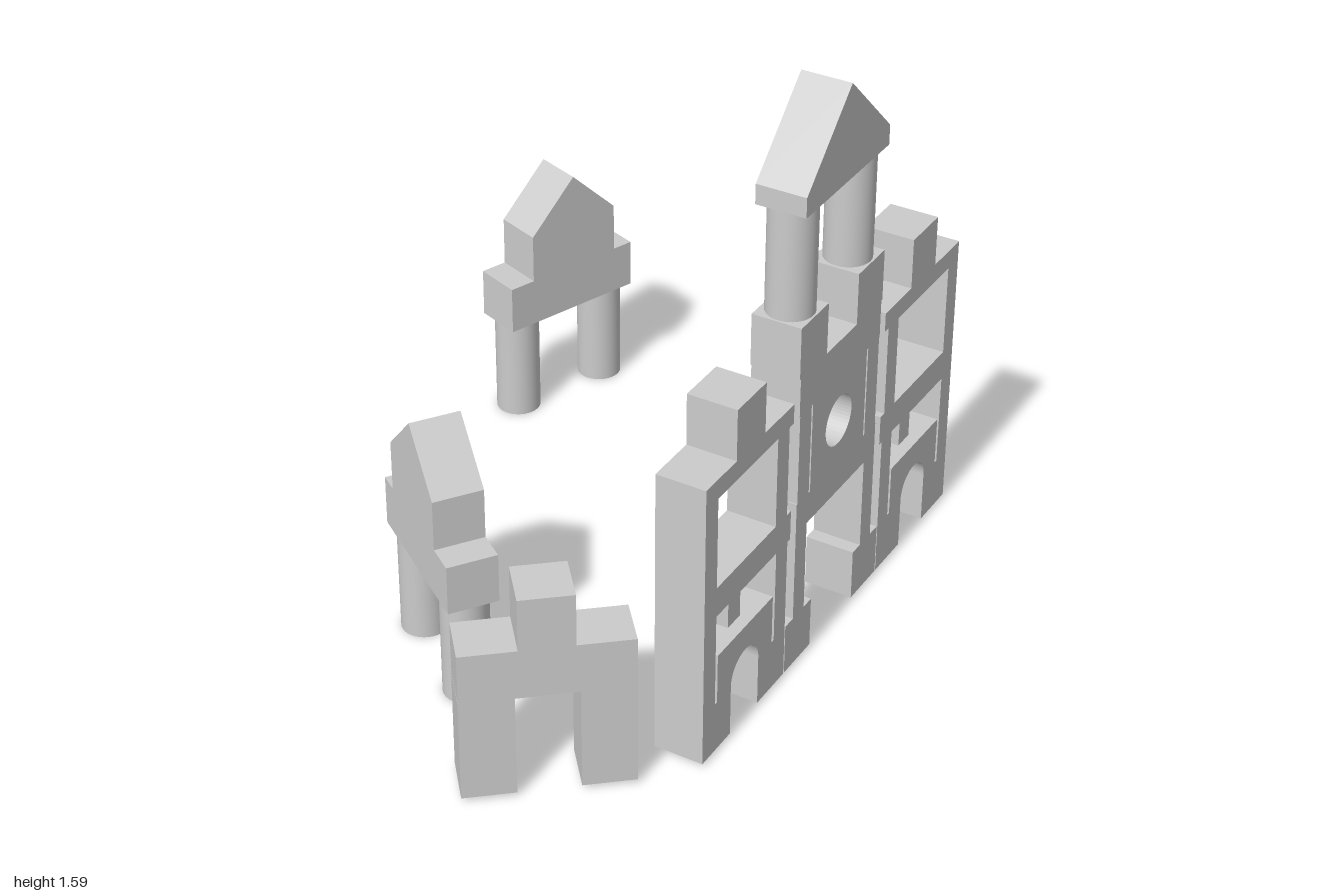
import * as THREE from 'three';

const material = new THREE.MeshStandardMaterial({ color: 0xcccccc });
const D = 0.137; // common block depth
const GROUND = 0.012;

function add(group, name, geometry, x, y, z = 0, turn = 0) {
  const mesh = new THREE.Mesh(geometry, material);
  mesh.name = name;
  mesh.position.set(x, y, z);
  mesh.rotation.y = turn;
  group.add(mesh);
  return mesh;
}

// Box standing between heights y0 and y1
function block(group, name, x, y0, y1, width, depth = D, turn = 0) {
  return add(group, name, new THREE.BoxGeometry(width, y1 - y0, depth), x, (y0 + y1) / 2, 0, turn);
}

// Round pillar standing between heights y0 and y1
function pillar(group, name, x, y0, y1) {
  return add(group, name, new THREE.CylinderGeometry(0.0635, 0.0635, y1 - y0, 32), x, (y0 + y1) / 2);
}

// Flat outline pulled to the block depth, centred on z
function slab(group, name, shape, x, y) {
  const geometry = new THREE.ExtrudeGeometry(shape, { depth: D, bevelEnabled: false, curveSegments: 24 });
  geometry.translate(0, 0, -D / 2);
  return add(group, name, geometry, x, y);
}

function roof(group, name, x, y, width, height) {
  const shape = new THREE.Shape();
  shape.moveTo(-width / 2, 0);
  shape.lineTo(width / 2, 0);
  shape.lineTo(0, height);
  shape.closePath();
  return slab(group, name, shape, x, y);
}

function arch(group, name, x, y, width, height, radius) {
  const shape = new THREE.Shape();
  shape.moveTo(-width / 2, 0);
  shape.lineTo(-radius, 0);
  shape.absarc(0, 0, radius, Math.PI, 0, true);
  shape.lineTo(width / 2, 0);
  shape.lineTo(width / 2, height);
  shape.lineTo(-width / 2, height);
  shape.closePath();
  return slab(group, name, shape, x, y);
}

function holedPanel(group, name, x, y, width, height, radius) {
  const shape = new THREE.Shape();
  shape.moveTo(-width / 2, 0);
  shape.lineTo(width / 2, 0);
  shape.lineTo(width / 2, height);
  shape.lineTo(-width / 2, height);
  shape.closePath();
  const hole = new THREE.Path();
  hole.absarc(0, height / 2, radius, 0, Math.PI * 2, true);
  shape.holes.push(hole);
  return slab(group, name, shape, x, y);
}

function placed(root, name, x, z, turn) {
  const group = new THREE.Group();
  group.name = name;
  group.position.set(x, 0, z);
  group.rotation.y = turn;
  root.add(group);
  return group;
}

// Gatehouse: two round pillars, a beam and a gabled block
function gatehouse(root, name, x, z, turn, shift) {
  const g = placed(root, name, x, z, turn);
  for (const s of [-1, 1]) pillar(g, 'roundPillar', s * 0.15, 0, 0.3);
  block(g, 'beam', 0, 0.3, 0.44, 0.432);
  block(g, 'houseBlock', shift, 0.44, 0.582, 0.292);
  roof(g, 'houseRoof', shift, 0.582, 0.292, 0.145);
}

export function createModel() {
  const root = new THREE.Group();
  root.name = 'blockCastle';

  // Tall wall, built symmetrically along its length
  const wall = placed(root, 'castleWall', 0.533, -0.153, -1.223);
  for (const s of [-1, 1]) {
    // Lower storey with arch
    for (const x of [0.606, 0.328, 0.186]) block(wall, 'baseCube', s * x, GROUND, 0.158, 0.138);
    arch(wall, 'arch', s * 0.467, 0.158, 0.278, 0.142, 0.07);
    for (const x of [0.646, 0.288, 0.186]) block(wall, 'lowerPost', s * x, 0.158, 0.425, 0.058);
    block(wall, 'smallPost', s * 0.467, 0.3, 0.425, 0.06, 0.07);
    block(wall, 'lowerPlank', s * 0.46, 0.425, 0.51, 0.43);
    // Upper storey with open window
    for (const x of [0.646, 0.295]) block(wall, 'upperPost', s * x, 0.51, 0.77, 0.058);
    block(wall, 'upperPlank', s * 0.46, 0.77, 0.825, 0.43);
    block(wall, 'battlement', s * 0.461, 0.825, 0.968, 0.14);
    // Central tower sides
    block(wall, 'panelPost', s * 0.182, 0.51, 0.77, 0.06);
    block(wall, 'towerCube', s * 0.15, 0.88, 1.025, 0.14);
    pillar(wall, 'towerPillar', s * 0.151, 1.025, 1.325);
  }
  // Central tower
  block(wall, 'gateLintel', 0, 0.42, 0.51, 0.43);
  holedPanel(wall, 'roundWindowPanel', 0, 0.51, 0.29, 0.26, 0.07);
  block(wall, 'towerPlank', 0, 0.77, 0.825, 0.43);
  block(wall, 'towerPlank', 0, 0.825, 0.88, 0.43);
  block(wall, 'roofPlank', 0, 1.325, 1.38, 0.43);
  roof(wall, 'towerRoof', 0, 1.38, 0.43, 0.207);

  // Two gabled gatehouses
  gatehouse(root, 'frontGatehouse', 0.066, 0.68, -0.26, -0.013);
  gatehouse(root, 'sideGatehouse', -0.766, -0.34, Math.PI / 2, 0.008);

  // Square-legged gate with a cube on top
  const gate = placed(root, 'cornerGate', 0.604, 0.77, 1.052);
  for (const s of [-1, 1]) block(gate, 'squareLeg', s * 0.148, GROUND, 0.3, 0.137);
  block(gate, 'beam', 0, 0.3, 0.44, 0.432);
  block(gate, 'topCube', 0, 0.44, 0.587, 0.14);

  // Loose stack of three cubes
  const stack = placed(root, 'cubeStack', -0.23, -0.925, 0);
  [0.06, 0.2, -0.14].forEach((turn, i) => {
    const y = GROUND + i * 0.147;
    block(stack, 'stackedCube', 0, y, y + 0.147, 0.138, D, turn);
  });

  return root;
}
